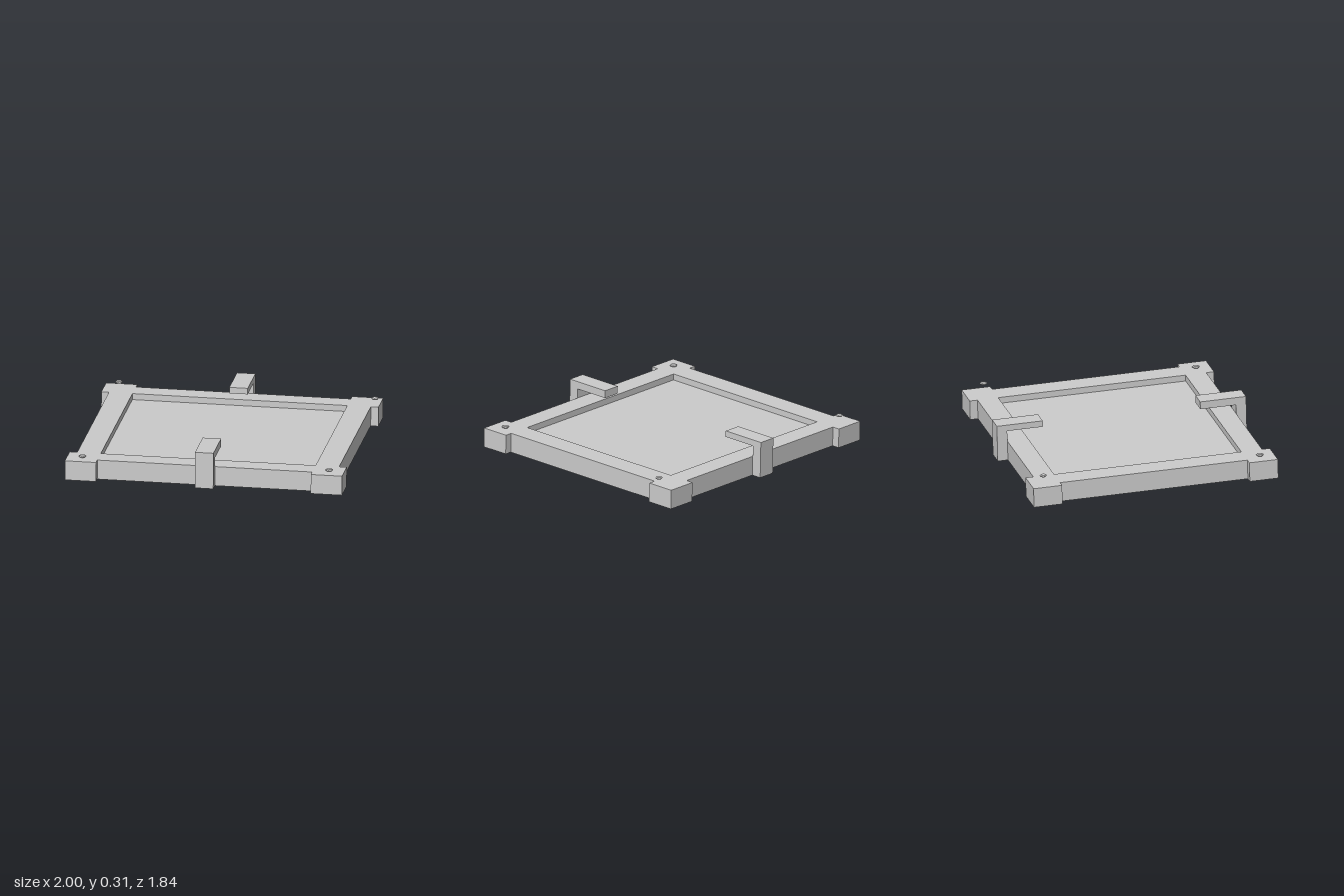
import * as THREE from 'three';

const material = new THREE.MeshStandardMaterial({ color: 0xcccccc, flatShading: true });

function addMesh(parent, name, geometry, x = 0, y = 0, z = 0) {
  const mesh = new THREE.Mesh(geometry, material);
  mesh.name = name;
  mesh.position.set(x, y, z);
  parent.add(mesh);
  return mesh;
}

// Closed profile from [x, y] pairs
const outline = (points) => new THREE.Shape(points.map(([x, y]) => new THREE.Vector2(x, y)));

export function createModel() {
  const model = new THREE.Group();
  model.name = 'trayWithClips';

  const height = 0.143;
  const inX = 0.775, sideX = 0.945, outX = 1; // recess, side and corner half-widths
  const inZ = 0.69, sideZ = 0.843, outZ = 0.9;

  // The tray slopes gently down towards the back
  const tray = new THREE.Group();
  tray.name = 'slopedTray';
  tray.rotation.x = -0.0245;
  tray.position.set(0, 0.0225, -0.002);
  model.add(tray);

  // Frame with thicker square corners and a rectangular opening
  const frame = outline([
    [outX, inZ], [outX, outZ], [inX, outZ], [inX, sideZ],
    [-inX, sideZ], [-inX, outZ], [-outX, outZ], [-outX, inZ],
    [-sideX, inZ], [-sideX, -inZ], [-outX, -inZ], [-outX, -outZ],
    [-inX, -outZ], [-inX, -sideZ], [inX, -sideZ], [inX, -outZ],
    [outX, -outZ], [outX, -inZ], [sideX, -inZ], [sideX, inZ],
  ]);
  frame.holes.push(outline([[-inX, -inZ], [-inX, inZ], [inX, inZ], [inX, -inZ]]));
  const frameGeometry = new THREE.ExtrudeGeometry(frame, { depth: height, bevelEnabled: false });
  addMesh(tray, 'frame', frameGeometry.rotateX(-Math.PI / 2));

  // Recessed floor
  const floorHeight = 0.098;
  addMesh(tray, 'floor', new THREE.BoxGeometry(inX * 2, floorHeight, inZ * 2), 0, floorHeight / 2, 0);

  // Hooked clips, front and back: upright plate with an arm reaching over the tray
  const clipWidth = 0.133;
  for (const [name, side, armBottom] of [['frontClip', 1, 0.211], ['backClip', -1, 0.222]]) {
    const top = 0.267, wall = 0.843, outer = 0.918, tip = 0.58;
    const profile = outline([
      [wall, 0], [outer, 0], [outer, top], [tip, top], [tip, armBottom], [wall, armBottom],
    ]);
    const geometry = new THREE.ExtrudeGeometry(profile, { depth: clipWidth, bevelEnabled: false });
    geometry.translate(0, 0, -clipWidth / 2).rotateY(-side * Math.PI / 2);
    addMesh(tray, name, geometry, 0.008, 0, 0);
  }

  // Small hexagonal studs, all level with one another
  const stud = new THREE.SphereGeometry(0.028, 6, 4).rotateY(Math.PI / 6).scale(1, 0.36, 1);
  for (const [x, z] of [[-0.89, 0.79], [0.89, 0.79], [-0.89, -0.805], [0.965, -0.755]]) {
    addMesh(model, 'stud', stud, x, 0.193, z);
  }

  return model;
}
